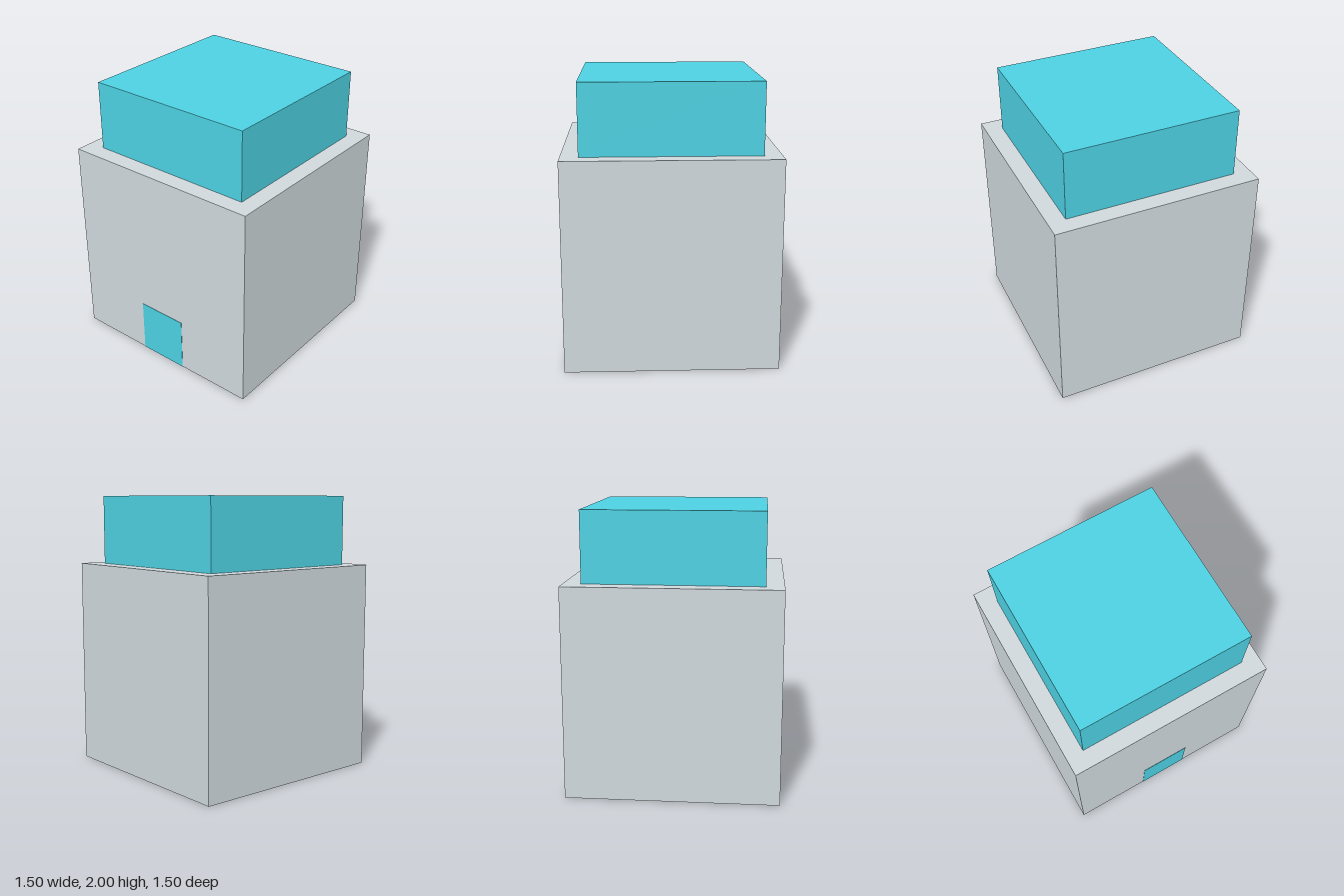
import * as THREE from 'three';

export function createModel() {
  const model = new THREE.Group();
  model.name = 'building';
  const wallMaterial = new THREE.MeshStandardMaterial({ color: 0xcfd8dc });
  const tealMaterial = new THREE.MeshStandardMaterial({ color: 0x4dd0e1 });

  // Box placed by the height of its base
  function addBox(name, [width, height, depth], baseY, z, material) {
    const mesh = new THREE.Mesh(new THREE.BoxGeometry(width, height, depth), material);
    mesh.name = name;
    mesh.position.set(0, baseY + height / 2, z);
    model.add(mesh);
  }

  // Main block
  addBox('walls', [1.5, 1.5, 1.5], 0, 0, wallMaterial);
  // Set-back upper storey
  addBox('upperStorey', [1.25, 0.5, 1.25], 1.5, 0, tealMaterial);
  // Thin door panel, just proud of the front wall
  addBox('door', [0.375, 0.4, 0.01], 0, 0.7475, tealMaterial);

  return model;
}
